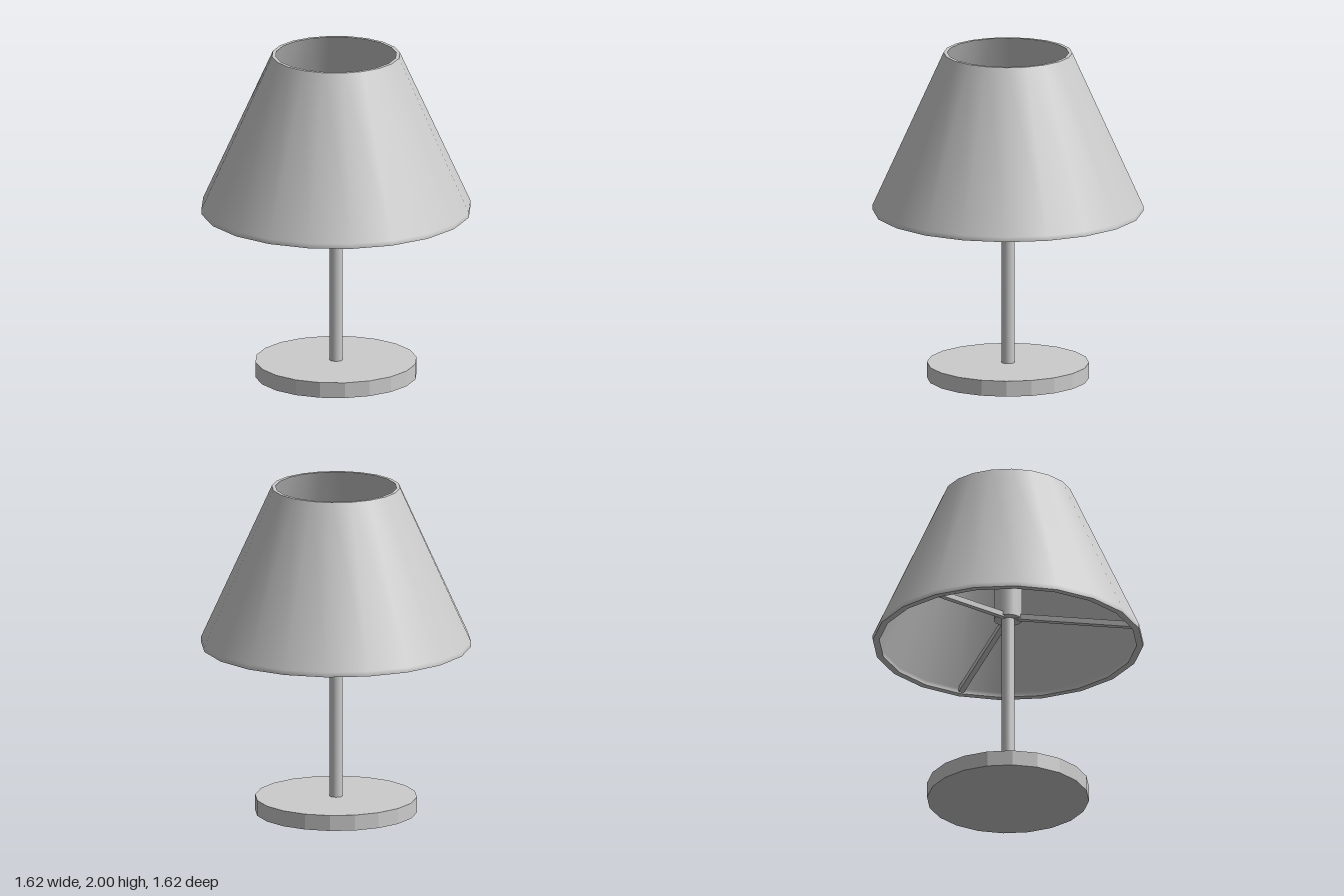
import * as THREE from 'three';

const SIDES = 20;

export function createModel() {
  const lamp = new THREE.Group();
  lamp.name = 'tableLamp';
  const smooth = new THREE.MeshStandardMaterial({ color: 0xcccccc });
  const flat = new THREE.MeshStandardMaterial({ color: 0xcccccc, flatShading: true });

  const add = (name, geometry, material, y = 0, parent = lamp) => {
    const mesh = new THREE.Mesh(geometry, material);
    mesh.name = name;
    mesh.position.y = y;
    parent.add(mesh);
    return mesh;
  };
  const cylinder = (r, h) => new THREE.CylinderGeometry(r, r, h, SIDES);

  // Faceted foot and round pole
  add('base', cylinder(0.485, 0.095), flat, 0.0475);
  add('pole', cylinder(0.04, 1.12), smooth, 0.65);

  // Socket and bulb
  add('socket', cylinder(0.085, 0.4), smooth, 1.38);
  add('bulb', new THREE.SphereGeometry(0.162, SIDES, 12), flat, 1.7);

  // Hollow shade: one lathe per wall so that the rims stay sharp
  const shade = new THREE.Group();
  shade.name = 'shade';
  lamp.add(shade);
  const walls = {
    shadeOuter: [[0.81, 1.03], [0.81, 1.06], [0.385, 2]],
    shadeTopRim: [[0.385, 2], [0.363, 2]],
    shadeInner: [[0.363, 2], [0.77, 1.06], [0.77, 1.03]],
    shadeBottomRim: [[0.77, 1.03], [0.81, 1.03]],
  };
  for (const [name, profile] of Object.entries(walls)) {
    const points = profile.map(([r, y]) => new THREE.Vector2(r, y));
    add(name, new THREE.LatheGeometry(points, SIDES), smooth, 0, shade);
  }

  // Three sloping spokes from the socket to the shade's lower rim
  const up = new THREE.Vector3(0, 1, 0);
  for (const degrees of [0, 126, 252]) {
    const angle = THREE.MathUtils.degToRad(degrees);
    const inner = new THREE.Vector3(0, 1.195, 0.04).applyAxisAngle(up, angle);
    const outer = new THREE.Vector3(0, 1.055, 0.775).applyAxisAngle(up, angle);
    const spoke = add('spoke', new THREE.BoxGeometry(0.034, 0.034, inner.distanceTo(outer)), flat);
    spoke.position.lerpVectors(inner, outer, 0.5);
    spoke.lookAt(outer);
  }
  return lamp;
}
